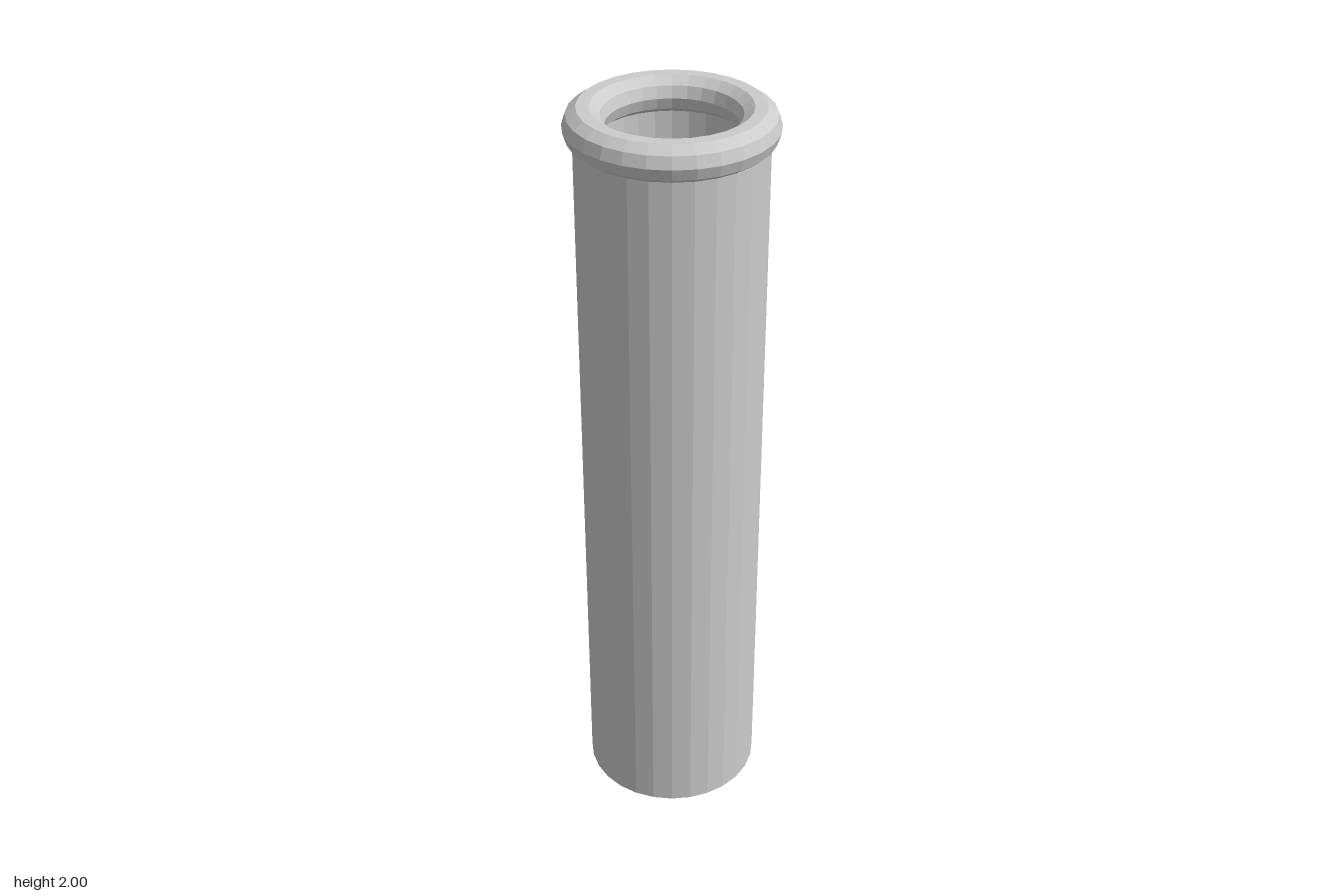
import * as THREE from 'three';

const SIDES = 28;

export function createModel() {
  const group = new THREE.Group();
  const material = new THREE.MeshStandardMaterial({ color: 0xcccccc, flatShading: true });

  // Hollow tube: closed wall section with a small chamfer at the outer foot
  const wall = [
    [0.187, 0], [0.222, 0], [0.235, 0.012],
    [0.235, 1.95], [0.187, 1.95], [0.187, 0],
  ].map(([r, y]) => new THREE.Vector2(r, y));
  const tube = new THREE.Mesh(new THREE.LatheGeometry(wall, SIDES), material);
  tube.name = 'tube';
  group.add(tube);

  // Rounded rim around the mouth
  const ring = new THREE.TorusGeometry(0.209, 0.05, 10, SIDES);
  ring.rotateX(-Math.PI / 2);
  const rim = new THREE.Mesh(ring, material);
  rim.name = 'rim';
  rim.position.y = 1.952;
  group.add(rim);

  return group;
}
